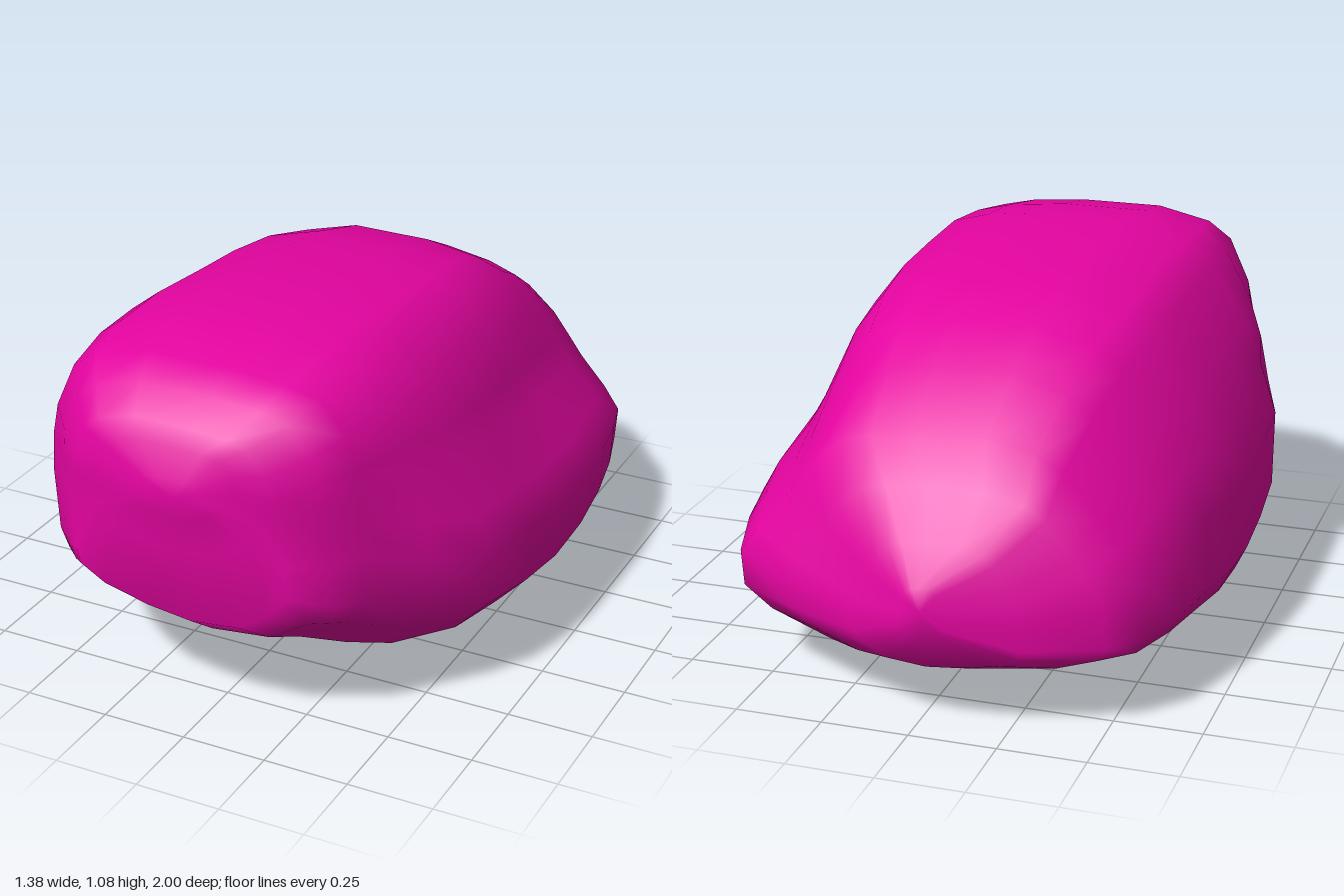
import * as THREE from 'three';

// Cross-section outline seen from the front, counter-clockwise from the lowest point
const OUTLINE = [
  [0.08, 0], [0.38, 0.03], [0.585, 0.14], [0.68, 0.24], [0.69, 0.41], [0.645, 0.53],
  [0.57, 0.68], [0.53, 0.78], [0.475, 0.9], [0.37, 1.02], [0.26, 1.05], [0.08, 1.07],
  [-0.19, 1.07], [-0.37, 1.02], [-0.46, 0.95], [-0.57, 0.77], [-0.63, 0.64], [-0.69, 0.48],
  [-0.69, 0.24], [-0.655, 0.165], [-0.49, 0.09], [-0.2, 0.03],
];

// Stations from front to back: z, xMin, xMax, yMin, yMax, extra width towards the top
const STATIONS = [
  [1.0, -0.13, 0.1, 0.68, 0.79, 0],
  [0.97, -0.29, 0.2, 0.56, 0.87, 0.3],
  [0.945, -0.36, 0.29, 0.34, 0.92, 0.5],
  [0.88, -0.42, 0.39, 0.29, 0.99, 0.6],
  [0.78, -0.51, 0.46, 0.245, 1.03, 0.55],
  [0.6, -0.6, 0.56, 0.14, 1.06, 0.3],
  [0.42, -0.67, 0.65, 0.05, 1.075, 0.08],
  [0.2, -0.685, 0.68, 0.02, 1.065, 0],
  [0, -0.69, 0.69, 0, 1.05, 0],
  [-0.2, -0.69, 0.69, 0.02, 1.025, -0.05],
  [-0.4, -0.665, 0.67, 0.05, 0.975, -0.13],
  [-0.58, -0.64, 0.635, 0.08, 0.89, -0.2],
  [-0.75, -0.59, 0.585, 0.11, 0.77, -0.22],
  [-0.85, -0.5, 0.4, 0.14, 0.66, -0.1],
  [-0.94, -0.3, 0.18, 0.18, 0.53, 0],
  [-1.0, -0.1, 0.02, 0.29, 0.43, 0],
];

// Soft hollows: centre, radius, push direction
const HOLLOWS = [
  [[0.25, 0.6, 0.93], 0.13, [-0.01, 0, -0.03]],
  [[-0.35, 0.6, 0.9], 0.13, [0.01, 0, -0.03]],
  [[0.55, 0.72, -0.1], 0.22, [-0.03, -0.01, 0]],
  [[0.45, 0.55, 0.78], 0.13, [-0.03, 0, -0.02]],
  [[0.42, 0.75, -0.5], 0.28, [-0.02, -0.035, 0]],
];

function outlinePoint([px, py], [z, x0, x1, y0, y1, flare]) {
  const v = py / 1.07;
  const u = (px / 0.69) * (1 + flare * Math.max(v - 0.4, 0));
  const p = new THREE.Vector3((x0 + x1) / 2 + (u * (x1 - x0)) / 2, y0 + v * (y1 - y0), z);
  const start = p.clone();
  for (const [c, r, push] of HOLLOWS) {
    const d = start.distanceTo(new THREE.Vector3(...c)) / r;
    p.addScaledVector(new THREE.Vector3(...push), Math.exp(-d * d));
  }
  return p;
}

function boulderGeometry() {
  const n = OUTLINE.length;
  const rings = STATIONS.map((s) => OUTLINE.map((p) => outlinePoint(p, s)));
  const points = rings.flat();
  const index = [];
  for (let i = 0; i < rings.length - 1; i++) {
    for (let j = 0; j < n; j++) {
      const k = (j + 1) % n;
      const a = i * n + j, b = i * n + k, c = a + n, d = b + n;
      index.push(a, c, b, b, c, d);
    }
  }
  // Close both ends with a fan
  const cap = (ring, base, flip) => {
    const centre = new THREE.Vector3();
    ring.forEach((p) => centre.addScaledVector(p, 1 / n));
    const m = points.push(centre) - 1;
    for (let j = 0; j < n; j++) {
      const a = base + j, b = base + ((j + 1) % n);
      if (flip) index.push(m, b, a);
      else index.push(m, a, b);
    }
  };
  cap(rings[0], 0, false);
  cap(rings[rings.length - 1], (rings.length - 1) * n, true);

  const geometry = new THREE.BufferGeometry().setFromPoints(points);
  geometry.setIndex(index);
  geometry.computeVertexNormals();
  return geometry;
}

export function createModel() {
  const group = new THREE.Group();
  group.name = 'rock';
  const boulder = new THREE.Mesh(
    boulderGeometry(),
    new THREE.MeshStandardMaterial({ color: 0xe404a0 }),
  );
  boulder.name = 'boulder';
  group.add(boulder);
  return group;
}
